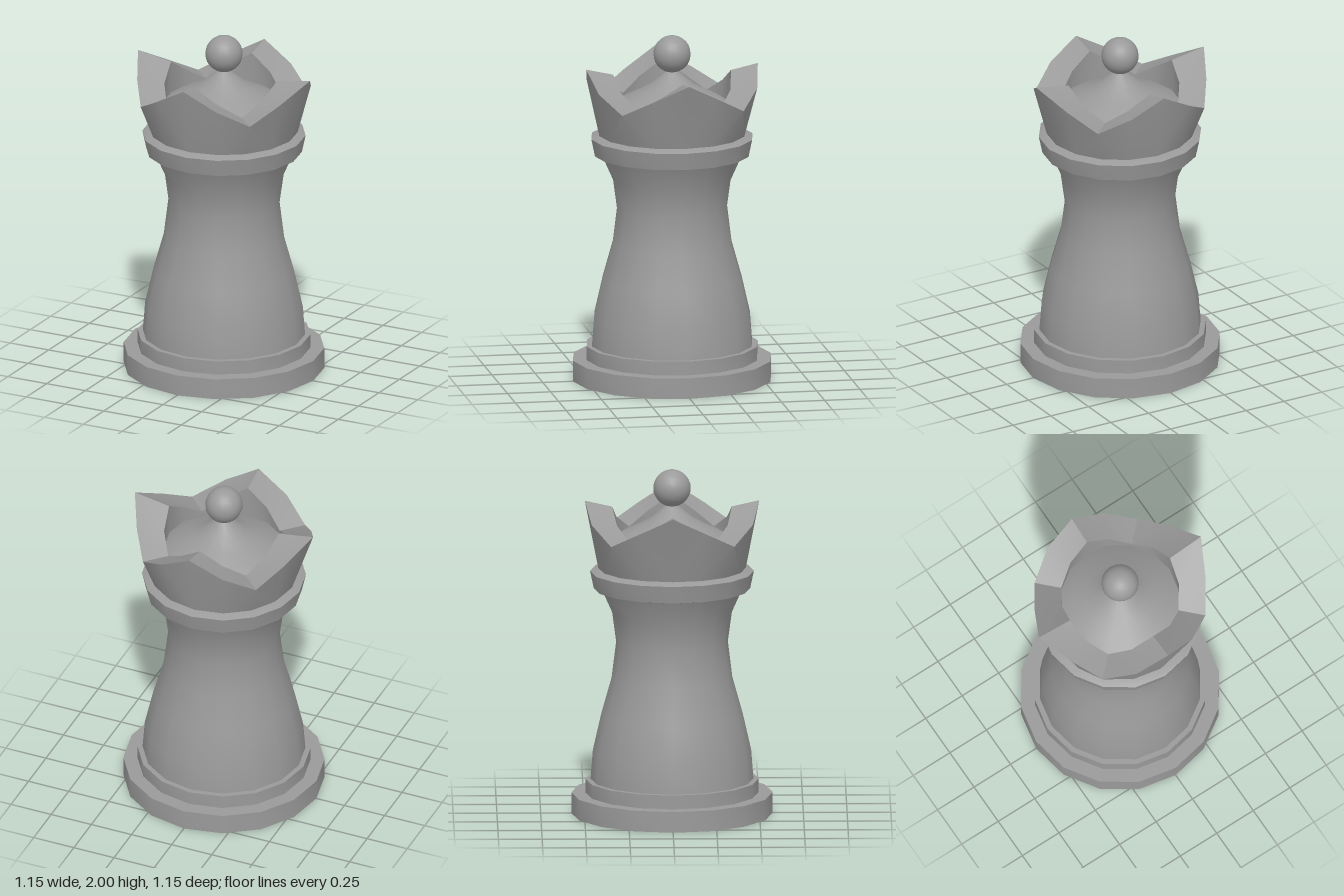
import * as THREE from 'three';
import { toCreasedNormals } from 'three/addons/utils/BufferGeometryUtils.js';

const SIDES = 16;
const material = new THREE.MeshStandardMaterial({ color: 0x9a9a9a });

function addMesh(group, name, geometry) {
  const mesh = new THREE.Mesh(geometry, material);
  mesh.name = name;
  group.add(mesh);
  return mesh;
}

// Turned part: profile of [radius, height] pairs, listed from bottom to top
function turned(profile) {
  const points = profile.map(([r, y]) => new THREE.Vector2(r, y));
  return toCreasedNormals(new THREE.LatheGeometry(points, SIDES), 0.6);
}

// Crown wall: four peaks on the axes, four valleys on the diagonals
function crownGeometry() {
  const positions = [];
  const index = [];
  const ring = 4; // points in each cross-section
  for (let i = 0; i < SIDES; i++) {
    const angle = (i / SIDES) * Math.PI * 2;
    const step = i % 4; // 0 peak, 2 valley
    const outerTop = step === 0 ? 1.82 : step === 2 ? 1.62 : 1.715;
    const innerTop = step === 0 ? 1.785 : step === 2 ? 1.62 : 1.7;
    const sidePeak = i === 4 || i === 12; // the left and right peaks flare further
    const section = [
      [0.42, 1.42],
      [sidePeak ? 0.555 : 0.498, outerTop],
      [0.342, innerTop],
      [0.342, 1.5],
    ];
    for (const [r, y] of section) positions.push(r * Math.sin(angle), y, r * Math.cos(angle));
    const next = (i + 1) % SIDES;
    for (let j = 0; j < ring - 1; j++) {
      const a = i * ring + j;
      const b = next * ring + j;
      // Mirror the diagonal so each peak stays symmetrical
      if (step < 2) index.push(a, b, b + 1, a, b + 1, a + 1);
      else index.push(a, b, a + 1, b, b + 1, a + 1);
    }
  }
  const geometry = new THREE.BufferGeometry();
  geometry.setAttribute('position', new THREE.Float32BufferAttribute(positions, 3));
  geometry.setIndex(index);
  return toCreasedNormals(geometry, 0.6);
}

export function createModel() {
  const group = new THREE.Group();
  group.name = 'chessQueen';

  // Stepped foot
  addMesh(group, 'base', turned([[0, 0], [0.575, 0], [0.575, 0.12], [0, 0.12]]));
  addMesh(group, 'baseStep', turned([[0.495, 0.12], [0.495, 0.2], [0, 0.2]]));

  // Waisted body
  addMesh(group, 'body', turned([
    [0.465, 0.2], [0.452, 0.37], [0.404, 0.58], [0.345, 0.79],
    [0.319, 1.0], [0.342, 1.17], [0.4, 1.3],
  ]));

  // Collar under the crown
  addMesh(group, 'collar', turned([
    [0, 1.3], [0.4, 1.3], [0.447, 1.31], [0.468, 1.41], [0.42, 1.43], [0, 1.43],
  ]));

  addMesh(group, 'crown', crownGeometry());

  // Cushion rising to a point under the ball
  addMesh(group, 'cushion', turned([
    [0.34, 1.5], [0.34, 1.6], [0.275, 1.64], [0.2, 1.675],
    [0.12, 1.72], [0.05, 1.78], [0, 1.82],
  ]));

  addMesh(group, 'finial', new THREE.SphereGeometry(0.107, 20, 14)).position.y = 1.893;

  return group;
}
